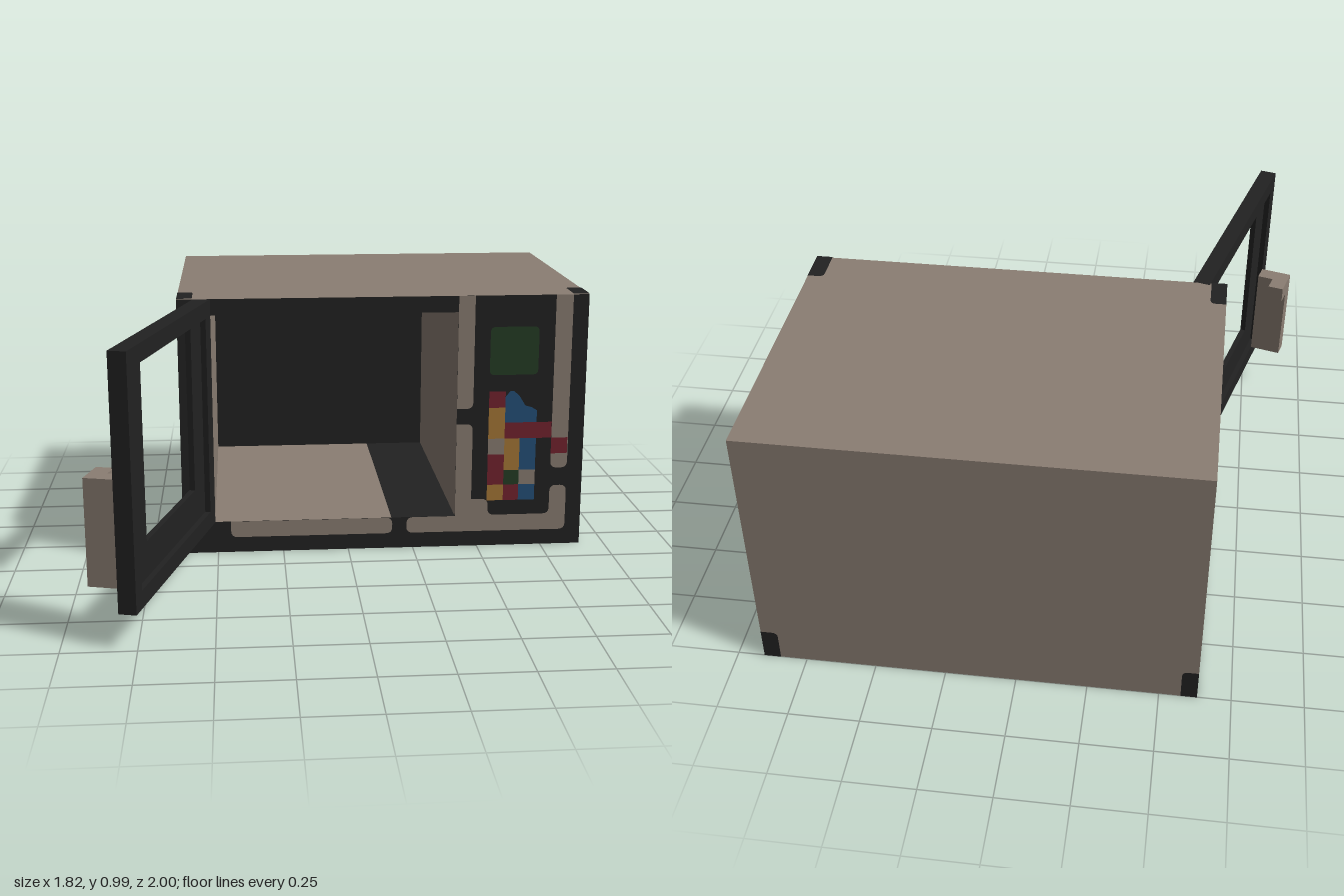
import * as THREE from 'three';

const material = (name, color) => {
  const m = new THREE.MeshStandardMaterial({ color });
  m.name = name;
  return m;
};

export function createModel() {
  const model = new THREE.Group();
  model.name = 'microwaveOven';
  const taupe = material('taupe', 0x8b7e73);
  const dark = material('charcoal', 0x222222);
  const red = material('red', 0x75232f);
  const blue = material('blue', 0x25517a);
  const orange = material('orange', 0xa87838);
  const green = material('green', 0x253d25);

  // U is the small module that all sizes are built on
  const U = 0.0615;
  const L = -0.6325, R = L + 25 * U, H = 16 * U, B = -1, F = B + 18 * U;
  const inL = L + 2 * U, inR = L + 17 * U, inB = B + U, inY = 2 * U, inTop = 15 * U;

  // Box between two corners; faces maps a side (px nx py ny pz nz) to its own material
  const box = (parent, name, [x0, y0, z0], [x1, y1, z1], base, faces = {}) => {
    const mats = ['px', 'nx', 'py', 'ny', 'pz', 'nz'].map(k => faces[k] || base);
    const geo = new THREE.BoxGeometry(x1 - x0, y1 - y0, z1 - z0);
    const mesh = new THREE.Mesh(geo, Object.keys(faces).length ? mats : base);
    mesh.position.set((x0 + x1) / 2, (y0 + y1) / 2, (z0 + z1) / 2);
    mesh.name = name;
    parent.add(mesh);
    return mesh;
  };

  // Flat outline with every corner rounded by r, unless a point gives its own radius
  const plate = (name, mat, points, r = 0) => {
    const shape = new THREE.Shape();
    const v = points.map(p => new THREE.Vector2(p[0], p[1]));
    points.forEach((p, i) => {
      const c = v[i], rad = p[2] ?? r;
      const toward = q => c.clone().add(q.clone().sub(c).setLength(rad));
      const a = toward(v[(i + v.length - 1) % v.length]);
      const b = toward(v[(i + 1) % v.length]);
      if (i) shape.lineTo(a.x, a.y); else shape.moveTo(a.x, a.y);
      if (rad) shape.quadraticCurveTo(c.x, c.y, b.x, b.y);
    });
    shape.closePath();
    const mesh = new THREE.Mesh(new THREE.ShapeGeometry(shape, 4), mat);
    mesh.name = name;
    model.add(mesh);
    return mesh;
  };
  const rect = (x0, y0, x1, y1) => [[x0, y0], [x1, y0], [x1, y1], [x0, y1]];

  // Casing around the open cavity
  const split = L + 13 * U;
  box(model, 'leftWall', [L, 0, B], [inL, H, F], taupe, { pz: dark });
  box(model, 'controlCabinet', [inR, 0, B], [R, H, F], taupe, { pz: dark, ny: dark });
  box(model, 'roof', [inL, inTop, B], [inR, H, F], taupe, { pz: dark });
  box(model, 'floorLeft', [inL, 0, B], [split, inY, F], taupe, { pz: dark });
  box(model, 'floorRight', [split, 0, B], [inR, inY, F], dark, { nz: taupe });
  box(model, 'backWall', [inL, inY, B], [inR, inTop, inB], taupe, { pz: dark });

  // Dark corner guards on the outside faces
  const e = 0.003, c = 0.02;
  for (const [x0, x1] of [[L, L + 0.057], [R - 0.06, R]]) {
    const left = x0 === L;
    const top = plate('topCornerGuard', dark, [
      [x0, -F, 0], [x1, -F, 0], [x1, 0.03, left ? c : 0], [x0, 0.03, left ? 0 : c]]);
    top.rotation.x = -Math.PI / 2;
    top.position.y = H + e;

    const back = plate('backCornerGuard', dark, [
      [-x1, 0, 0], [-x0, 0, 0], [-x0, 0.12, left ? 0 : c], [-x1, 0.12, left ? c : 0]]);
    back.rotation.y = Math.PI;
    back.position.z = B - 0.001;

    for (const [z0, z1] of [[B, B + 0.04], [F - 0.038, F]]) {
      const s = left ? 1 : -1;
      const [a, b] = left ? [z0, z1] : [-z1, -z0];
      const side = plate('sideCornerGuard', dark, [
        [a, 0, 0], [b, 0, 0],
        [b, 0.12, (z0 === B) === (s > 0) ? 0.015 : 0],
        [a, 0.12, (z0 === B) === (s > 0) ? 0 : 0.015]]);
      side.rotation.y = -s * Math.PI / 2;
      side.position.x = left ? L - e : R + e;
    }
  }

  // Trim strips on the front
  const strips = [
    [[-0.45, 0.06], [0.17, 0.06], [0.17, inY], [-0.45, inY, 0]],
    [[0.225, 0.06], [0.845, 0.06], [0.845, 0.24], [0.78, 0.24], [0.78, 0.125], [0.54, 0.125],
      [0.54, 0.19], [0.475, 0.19, 0], [0.475, 0.49], [inR, 0.49, 0], [inR, inY, 0], [0.225, inY]],
    [[inR, 0.55, 0], [0.475, 0.55], [0.475, H, 0], [inR, H, 0]],
    [[0.78, 0.31], [0.845, 0.31], [0.845, H, 0], [0.78, H, 0]],
  ];
  strips.forEach(s => { plate('frontTrim', taupe, s, 0.025).position.z = F + 0.002; });

  // Display and keypad: column, top row, bottom row, colour
  plate('display', green, rect(0.535, 0.68, 0.72, 0.865), 0.02).position.z = F + 0.002;
  const colX = [0.535, 0.598, 0.657, 0.72, 0.779, 0.842];
  const rowY = [0.617, 0.553, 0.494, 0.431, 0.368, 0.305, 0.247, 0.184];
  const keys = [
    [0, 0, 1, red], [0, 1, 3, orange], [0, 3, 4, taupe], [0, 4, 6, red], [0, 6, 7, orange],
    [1, 2, 3, red], [1, 3, 5, orange], [1, 5, 6, green], [1, 6, 7, red],
    [2, 2, 3, red], [2, 3, 5, blue], [2, 5, 6, taupe], [2, 6, 7, blue],
    [3, 2, 3, red], [4, 3, 4, red],
  ];
  for (const [col, top, bottom, mat] of keys) {
    plate('key', mat, rect(colX[col], rowY[bottom], colX[col + 1], rowY[top])).position.z = F + 0.004;
  }
  plate('slopedKey', blue, [[0.598, 0.494], [0.72, 0.494], [0.72, 0.54], [0.7, 0.553],
    [0.675, 0.56], [0.65, 0.6], [0.63, 0.617], [0.615, 0.617], [0.598, 0.595]]).position.z = F + 0.004;

  // Open door: local x runs from hinge to free edge, local z points to its outer side
  const door = new THREE.Group();
  door.name = 'door';
  door.position.set(inL, 0, 0.111);
  door.rotation.y = -THREE.MathUtils.degToRad(105);
  model.add(door);
  const W = 15 * U;
  box(door, 'doorHingeStile', [0, inY, 0], [U, H, U], dark);
  box(door, 'doorFreeStile', [W - U, inY, 0], [W, H, U], dark);
  box(door, 'doorTopRail', [U, inTop, 0], [W - U, H, U], dark);
  box(door, 'doorBottomRail', [U, inY, 0], [W - U, 3 * U, U], dark);

  // Thin recessed panel around the window opening
  const p0 = U / 3, p1 = U * 2 / 3;
  box(door, 'windowHingePanel', [U, 3 * U, p0], [3 * U, inTop, p1], dark);
  box(door, 'windowFreePanel', [12 * U, 3 * U, p0], [W - U, inTop, p1], dark);
  box(door, 'windowLowerPanel', [3 * U, 3 * U, p0], [12 * U, 5 * U, p1], dark);

  // Handle post with a hook at its top
  box(door, 'handlePost', [13 * U, 3 * U, U], [14 * U, 9 * U, 3 * U], taupe);
  box(door, 'handleHook', [12 * U, 8 * U, 2 * U], [13 * U, 9 * U, 3 * U], taupe);

  return model;
}
